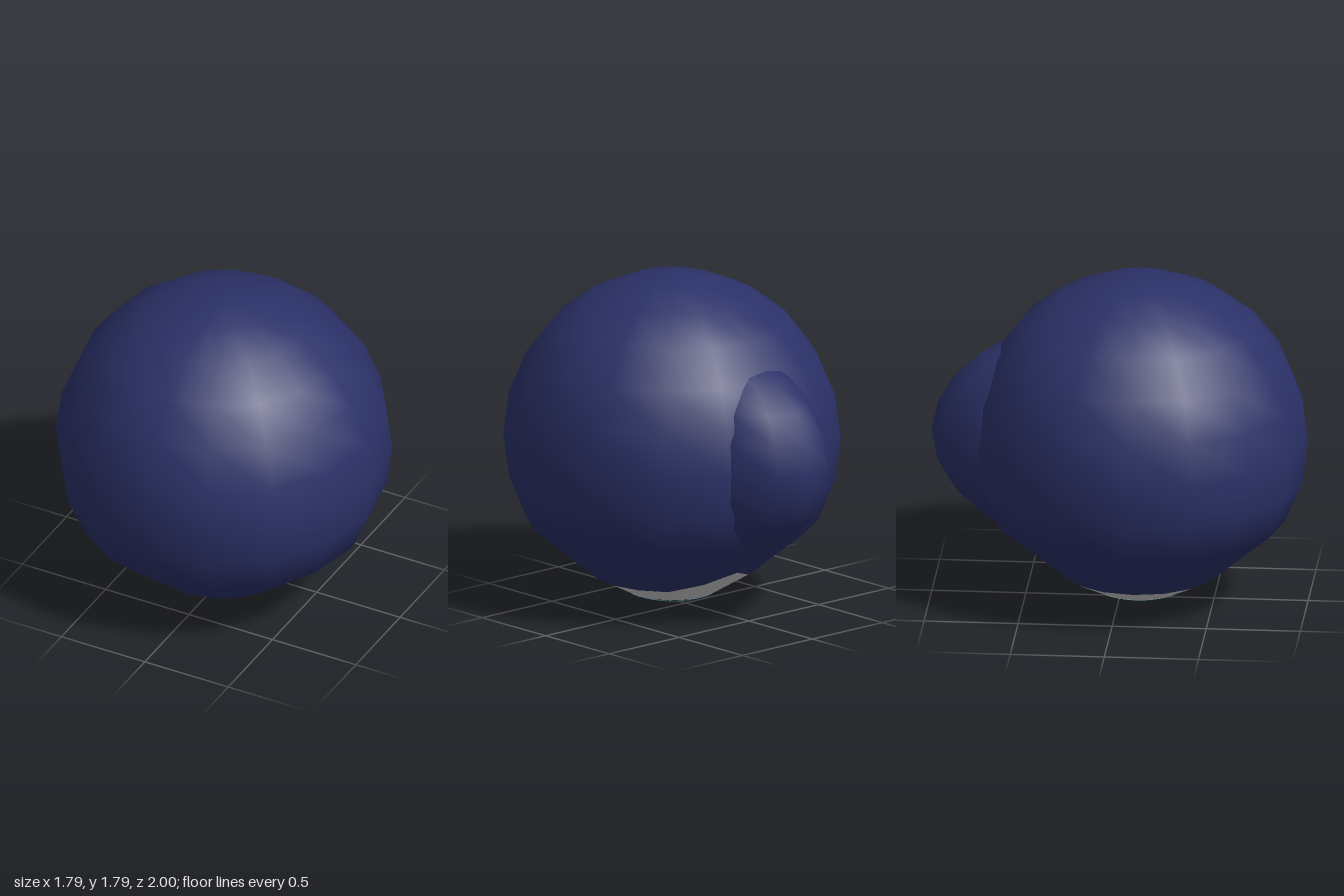
import * as THREE from 'three';
import { mergeVertices } from 'three/addons/utils/BufferGeometryUtils.js';

const SIDES = 16;
const CENTRE = new THREE.Vector3(0, 0.897, 0.105);

// Weld the seam and recompute smooth normals
function smooth(geometry) {
  geometry.deleteAttribute('uv');
  geometry.deleteAttribute('normal');
  const welded = mergeVertices(geometry, 1e-4);
  welded.computeVertexNormals();
  return welded;
}

// Rim of the lid opening: a circle drawn out to a raised corner at the back
function rimPoint(x, z) {
  const angle = Math.atan2(x, -z); // 0 at the back
  const step = Math.round(Math.abs(angle) / (Math.PI / 8));
  if (step === 0) return [0, 0.247, -0.41];
  if (step === 1) return [Math.sign(x) * 0.16, 0.19, -0.32];
  return [Math.sin(angle) * 0.42, 0.15, CENTRE.z - Math.cos(angle) * 0.42];
}

export function createModel() {
  const group = new THREE.Group();
  const add = (name, geometry, color) => {
    const material = new THREE.MeshStandardMaterial({ color, side: THREE.DoubleSide });
    const mesh = new THREE.Mesh(geometry, material);
    mesh.name = name;
    group.add(mesh);
    return mesh;
  };
  const skin = 0x2b3168;

  // Lid shell: a sphere open below, its last ring pulled in to the rim
  const lid = new THREE.SphereGeometry(0.895, SIDES, 9, 0, Math.PI * 2, 0, Math.PI * 0.75);
  lid.translate(CENTRE.x, CENTRE.y, CENTRE.z);
  const lp = lid.attributes.position;
  for (let i = lp.count - SIDES - 1; i < lp.count; i++) {
    lp.setXYZ(i, ...rimPoint(lp.getX(i), lp.getZ(i) - CENTRE.z));
  }
  add('lidShell', smooth(lid), skin);

  // Rounded bump on the back
  const bump = add('backBump', new THREE.SphereGeometry(1, SIDES, 12), skin);
  bump.scale.set(0.46, 0.625, 0.9);
  bump.position.set(0, CENTRE.y, -0.1);

  // White of the eye: a band from the rim down to the iris
  const white = new THREE.CylinderGeometry(1, 0.23, 1, SIDES, 1, true);
  const wp = white.attributes.position;
  for (let i = 0; i < wp.count; i++) {
    const x = wp.getX(i), z = wp.getZ(i);
    if (wp.getY(i) > 0) wp.setXYZ(i, ...rimPoint(x, z));
    else wp.setXYZ(i, x, 0.055, z + CENTRE.z);
  }
  add('eyeWhite', smooth(white), 0xcccccc);

  // Iris and pupil: shallow domes facing down
  const disc = (name, points, color) => {
    const profile = points.map(([r, y]) => new THREE.Vector2(r, y));
    add(name, new THREE.LatheGeometry(profile, SIDES * 2), color).position.z = CENTRE.z;
  };
  disc('iris', [[0.115, 0.018], [0.175, 0.034], [0.232, 0.055]], 0x6a9eb0);
  disc('pupil', [[0, 0], [0.06, 0.006], [0.115, 0.018]], 0x050505);

  return group;
}
